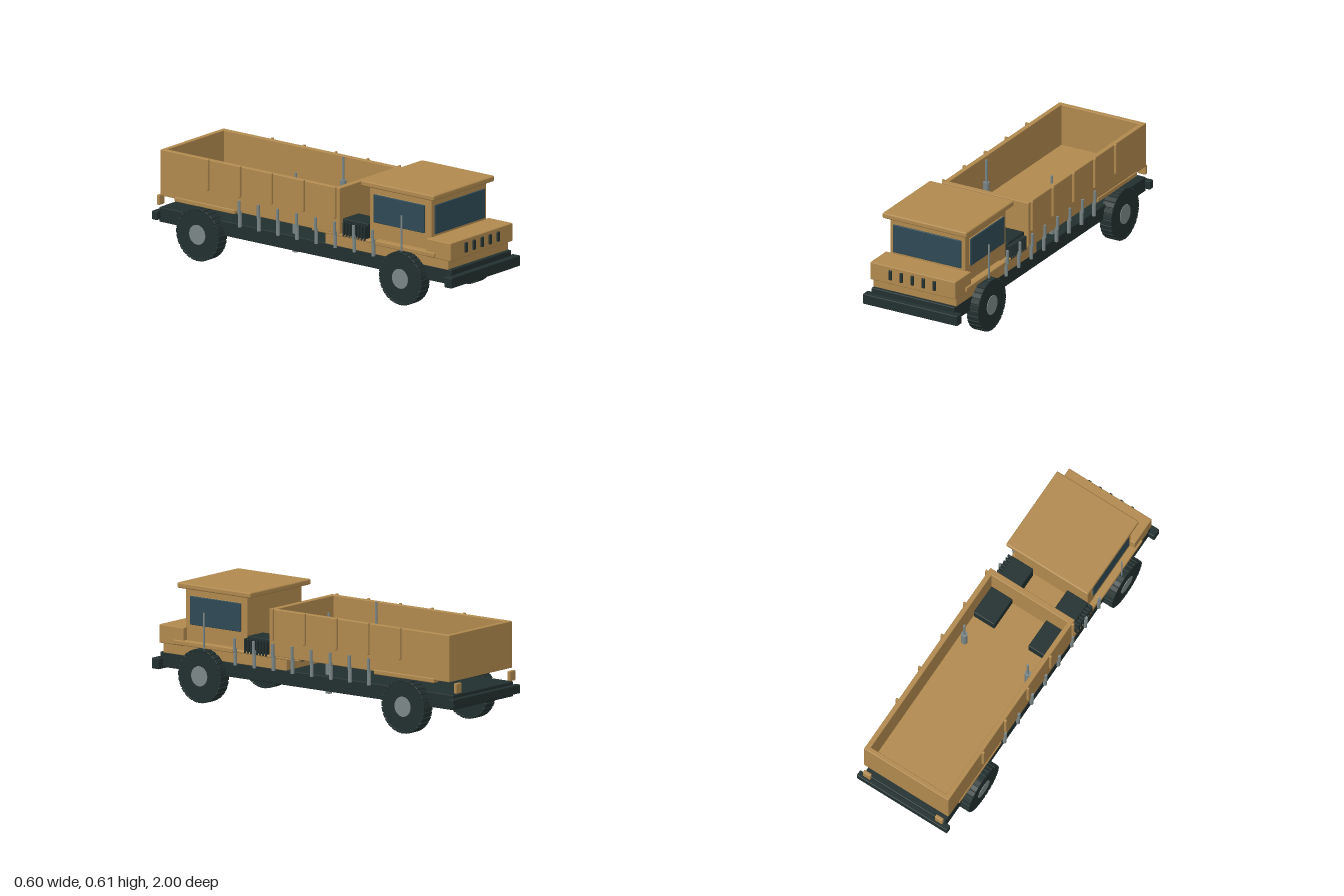
import * as THREE from 'three';
import { RoundedBoxGeometry } from 'three/addons/geometries/RoundedBoxGeometry.js';

const paint = (name, color) => {
  const m = new THREE.MeshStandardMaterial({ color });
  m.name = name;
  return m;
};

export function createModel() {
  const model = new THREE.Group();
  model.name = 'cargoTruck';
  const tan = paint('tan paint', 0xb0894e);
  const dark = paint('dark rubber and steel', 0x22302f);
  const glass = paint('window glass', 0x2f4a55);
  const grey = paint('grey metal', 0x7b8686);

  // Softly bevelled box given by its extents on each axis
  const box = (name, mat, [x0, x1], [y0, y1], [z0, z1], r = 0.005, parent = model) => {
    const w = x1 - x0, h = y1 - y0, d = z1 - z0;
    const mesh = new THREE.Mesh(new RoundedBoxGeometry(w, h, d, 2, Math.min(r, w / 2.2, h / 2.2, d / 2.2)), mat);
    mesh.position.set((x0 + x1) / 2, (y0 + y1) / 2, (z0 + z1) / 2);
    mesh.name = name;
    parent.add(mesh);
    return mesh;
  };
  // Same box placed on both sides of the truck
  const pair = (name, mat, [x0, x1], y, z, r) => {
    box(name + 'Left', mat, [x0, x1], y, z, r);
    box(name + 'Right', mat, [-x1, -x0], y, z, r);
  };
  // Upright rod
  const rod = (name, mat, r, x, [y0, y1], z) => {
    const mesh = new THREE.Mesh(new THREE.CylinderGeometry(r, r, y1 - y0, 16), mat);
    mesh.position.set(x, (y0 + y1) / 2, z);
    mesh.name = name;
    model.add(mesh);
  };

  // Chassis and bumpers
  box('chassis', dark, [-0.25, 0.25], [0.15, 0.23], [-0.975, 0.97]);
  box('frontBumper', dark, [-0.285, 0.285], [0.142, 0.199], [0.95, 1.0]);
  box('rearBumper', dark, [-0.28, 0.28], [0.165, 0.212], [-1.0, -0.965]);
  pair('rearLamp', tan, [0.2, 0.247], [0.238, 0.292], [-0.994, -0.975]);

  // Cab
  box('cabBase', tan, [-0.25, 0.25], [0.225, 0.287], [0.13, 0.95]);
  box('hood', tan, [-0.257, 0.257], [0.277, 0.375], [0.81, 0.972]);
  box('cab', tan, [-0.227, 0.227], [0.28, 0.59], [0.41, 0.82]);
  box('roof', tan, [-0.254, 0.254], [0.58, 0.61], [0.37, 0.855], 0.008);
  box('windshield', glass, [-0.206, 0.206], [0.388, 0.545], [0.821, 0.83], 0.004);
  pair('sideWindow', glass, [0.232, 0.2415], [0.393, 0.545], [0.445, 0.782], 0.004);
  pair('windowMount', tan, [0.22, 0.232], [0.393, 0.545], [0.445, 0.782], 0.003);
  for (let i = -2; i <= 2; i++) {
    const x = i * 0.0665;
    box('grilleSlot', dark, [x - 0.009, x + 0.009], [0.302, 0.356], [0.97, 0.982], 0.004);
  }

  // Fenders and running boards
  pair('frontFender', tan, [0.225, 0.267], [0.282, 0.307], [0.475, 0.87]);
  pair('rearFender', tan, [0.225, 0.267], [0.282, 0.307], [-0.86, -0.46]);
  pair('runningBoard', tan, [0.2, 0.257], [0.284, 0.298], [0.045, 0.48]);

  // Engine boxes with cooling fins
  pair('engineBox', dark, [0.105, 0.235], [0.285, 0.377], [0.035, 0.405]);
  for (let i = 0; i < 8; i++) {
    const z = 0.255 + i * 0.02;
    pair('coolingFin', dark, [0.23, 0.262], [0.29, 0.367], [z, z + 0.01], 0.002);
  }

  // Open cargo bed
  box('bedFloor', tan, [-0.255, 0.255], [0.297, 0.318], [-0.952, 0.23], 0.003);
  pair('bedSide', tan, [0.235, 0.262], [0.297, 0.545], [-0.958, 0.237], 0.004);
  box('bedFrontWall', tan, [-0.25, 0.25], [0.297, 0.545], [0.205, 0.237], 0.004);
  box('bedTailgate', tan, [-0.25, 0.25], [0.297, 0.545], [-0.958, -0.932], 0.004);
  for (let i = 0; i < 5; i++) {
    const z = 0.21 - i * 0.2115;
    pair('bedRib', tan, [0.258, 0.275], [0.38, 0.55], [z - 0.007, z + 0.007], 0.005);
  }

  for (const s of [1, -1]) {
    // Stepped posts along the chassis
    for (let i = 0; i < 8; i++) {
      const z = 0.462 - i * 0.127;
      rod('sidePost', grey, 0.01, s * 0.262, [0.22, 0.31], z);
      rod('sidePostTop', grey, 0.008, s * 0.268, [0.29, 0.363], z);
    }
    // Marker poles by the front wheels
    rod('markerPole', grey, 0.005, s * 0.275, [0.24, 0.474], 0.66);
    // Lift rams through the bed
    rod('ramSleeve', grey, 0.017, s * 0.197, [0.13, 0.43], -0.108);
    rod('ramPiston', grey, 0.007, s * 0.197, [0.42, 0.555], -0.108);
  }

  // Wheels with block tread
  const tyreGeo = new THREE.CylinderGeometry(0.137, 0.137, 0.068, 40).rotateZ(Math.PI / 2);
  const hubGeo = new THREE.CylinderGeometry(0.053, 0.053, 0.074, 24).rotateZ(Math.PI / 2);
  const treadGeo = new RoundedBoxGeometry(0.071, 0.012, 0.027, 1, 0.003);
  for (const x of [-0.265, 0.265]) {
    for (const z of [0.67, -0.68]) {
      const wheel = new THREE.Group();
      wheel.name = (z > 0 ? 'front' : 'rear') + 'Wheel' + (x > 0 ? 'Left' : 'Right');
      const tyre = new THREE.Mesh(tyreGeo, dark);
      tyre.name = 'tyre';
      const hub = new THREE.Mesh(hubGeo, grey);
      hub.name = 'hub';
      wheel.add(tyre, hub);
      for (let i = 0; i < 28; i++) {
        const a = (i / 28) * Math.PI * 2;
        const block = new THREE.Mesh(treadGeo, dark);
        block.name = 'treadBlock';
        block.position.set(0, Math.cos(a) * 0.136, Math.sin(a) * 0.136);
        block.rotation.x = a;
        wheel.add(block);
      }
      wheel.position.set(x, 0.142, z);
      model.add(wheel);
    }
  }
  return model;
}
